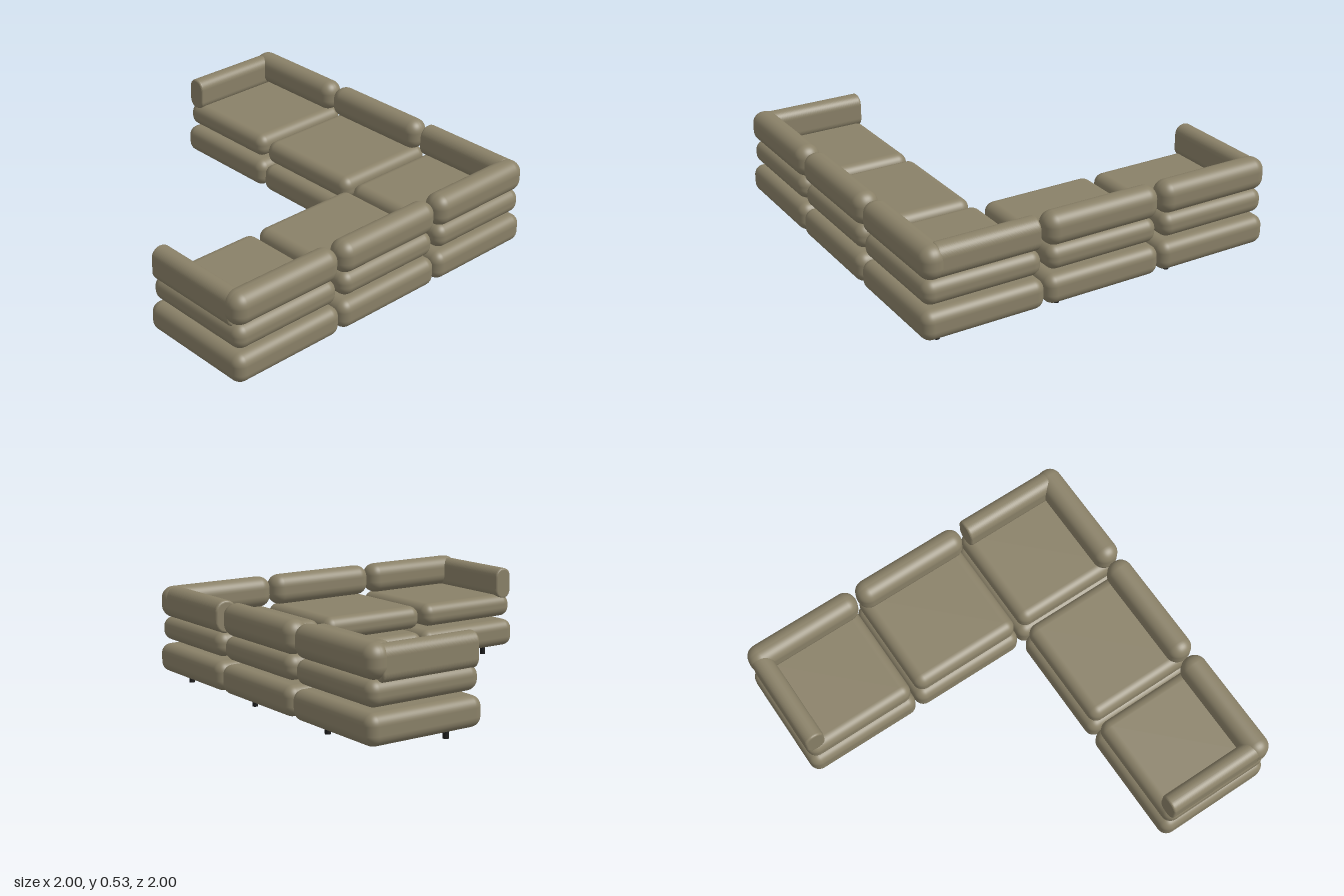
import * as THREE from 'three';
import { RoundedBoxGeometry } from 'three/addons/geometries/RoundedBoxGeometry.js';

const fabric = new THREE.MeshStandardMaterial({ color: 0x8a8168 });
fabric.name = 'olive fabric';
const black = new THREE.MeshStandardMaterial({ color: 0x1c1c1c });
black.name = 'black leg';

const PITCH = 0.667;

// Soft cushion spanning y0..y1, centred on x, z
function cushion(name, w, y0, y1, d, radius, x = 0, z = 0) {
  const mesh = new THREE.Mesh(new RoundedBoxGeometry(w, y1 - y0, d, 6, radius), fabric);
  mesh.name = name;
  mesh.position.set(x, (y0 + y1) / 2, z);
  return mesh;
}

// Armrest: rounded cross-section extruded along z, with softly bevelled ends
function armrest(w, y0, y1, z0, z1, x) {
  const bevel = 0.012;
  const a = w / 2 - bevel, b = (y1 - y0) / 2 - bevel, r = a * 0.95;
  const s = new THREE.Shape();
  s.moveTo(a, -b + r);
  s.lineTo(a, b - r);
  s.absarc(a - r, b - r, r, 0, Math.PI / 2, false);
  s.absarc(-a + r, b - r, r, Math.PI / 2, Math.PI, false);
  s.absarc(-a + r, -b + r, r, Math.PI, Math.PI * 1.5, false);
  s.absarc(a - r, -b + r, r, Math.PI * 1.5, Math.PI * 2, false);
  const geo = new THREE.ExtrudeGeometry(s, {
    depth: z1 - z0 - 2 * bevel, bevelSize: bevel, bevelThickness: bevel,
    bevelSegments: 4, curveSegments: 8,
  });
  const mesh = new THREE.Mesh(geo, fabric);
  mesh.name = 'armrest';
  mesh.position.set(x, (y0 + y1) / 2, z0 + bevel);
  return mesh;
}

// One seat module: plinth, seat cushion and two diagonal legs
function module(name, x, z) {
  const g = new THREE.Group();
  g.name = name;
  g.position.set(x, 0, z);
  g.add(cushion('base', 0.662, 0.06, 0.215, 0.662, 0.055));
  g.add(cushion('seat', 0.636, 0.236, 0.365, 0.636, 0.055));
  for (const s of [-1, 1]) {
    const leg = new THREE.Mesh(new THREE.CylinderGeometry(0.015, 0.015, 0.07, 16), black);
    leg.name = 'leg';
    leg.position.set(0.2 * s, 0.035, 0.2 * s);
    g.add(leg);
  }
  return g;
}

// Backrest along the +z edge or along the +x edge
const backZ = () => cushion('backrest', 0.655, 0.362, 0.532, 0.137, 0.065, 0, 0.256);
const backX = () => cushion('backrest', 0.137, 0.362, 0.532, 0.655, 0.065, 0.256, 0);

export function createModel() {
  const model = new THREE.Group();
  model.name = 'sectionalSofa';

  // Row along the +z edge
  const leftEnd = module('rowEnd', -PITCH, PITCH);
  leftEnd.add(backZ(), armrest(0.108, 0.342, 0.522, -0.303, 0.25, -0.269));
  const rowMiddle = module('rowMiddle', 0, PITCH);
  rowMiddle.add(backZ());
  const corner = module('corner', PITCH, PITCH);
  corner.add(backZ(), armrest(0.122, 0.362, 0.532, -0.303, 0.24, 0.26));

  // Column along the +x edge
  const columnMiddle = module('columnMiddle', PITCH, 0);
  columnMiddle.add(backX());
  const columnEnd = module('columnEnd', PITCH, -PITCH);
  const arm = new THREE.Group();
  arm.name = 'columnArm';
  arm.rotation.y = Math.PI / 2;
  arm.add(armrest(0.108, 0.342, 0.522, -0.303, 0.25, 0.269));
  columnEnd.add(backX(), arm);

  model.add(leftEnd, rowMiddle, corner, columnMiddle, columnEnd);
  return model;
}
